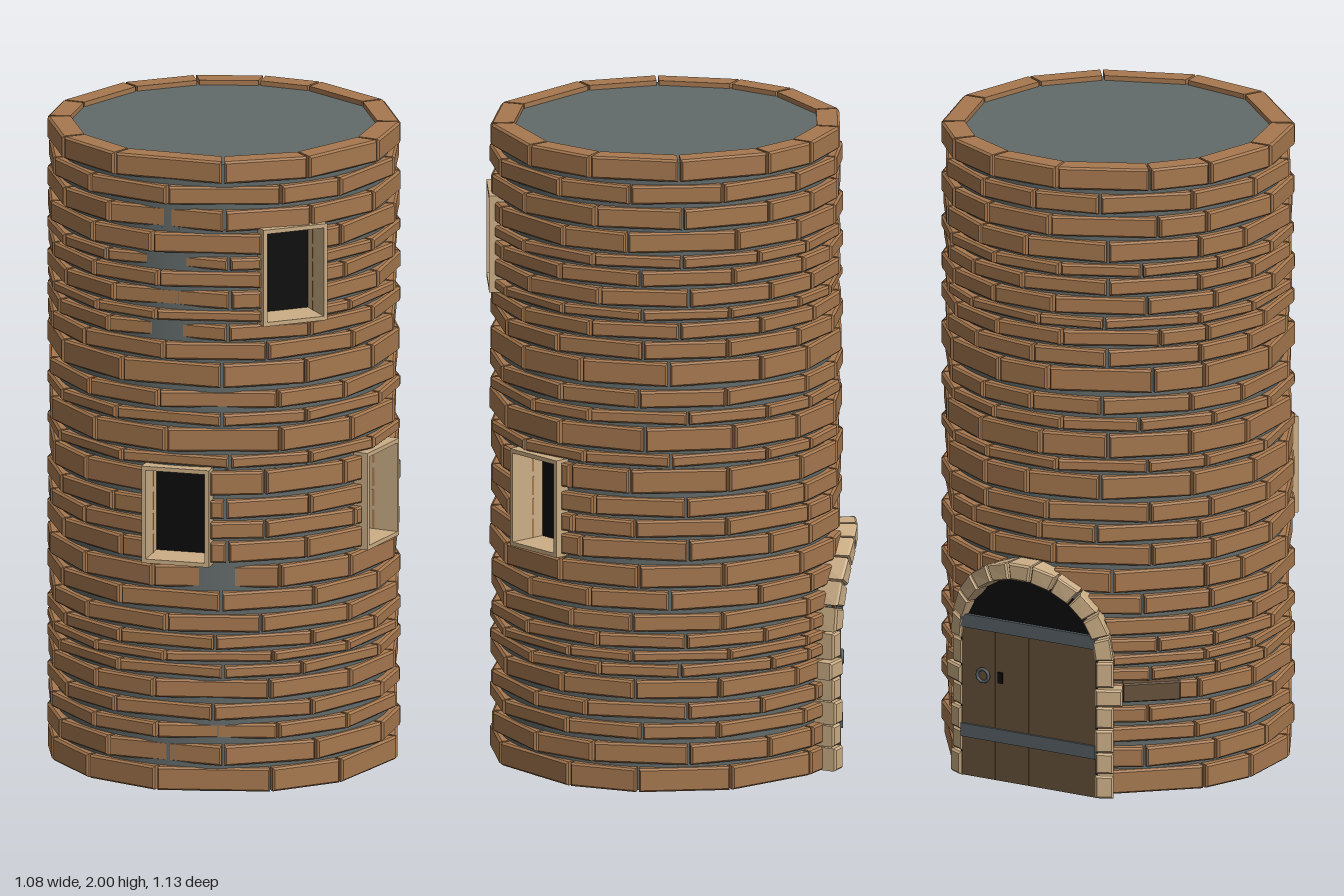
import * as THREE from 'three';
import { mergeGeometries } from 'three/addons/utils/BufferGeometryUtils.js';

const AXIS_Z = 0.02;   // tower axis, set forward of the door arch
const R = 0.541;       // outer brick radius
const CORE = 0.511;    // mortar radius
const DOOR_R = 0.55;   // radius on which door stones are laid out
const SPRING = 0.44;   // height where the arch begins
const DEG = Math.PI / 180;

function mat(name, color) {
  const m = new THREE.MeshStandardMaterial({ color });
  m.name = name;
  return m;
}

function random(seed) {
  return () => {
    seed = (seed * 16807) % 2147483647;
    return seed / 2147483647;
  };
}

// Chamfered stone: corners are [angle, y] anticlockwise seen from outside
function block(corners, rIn, rOut, bevel) {
  const mid = k => corners.reduce((s, c) => s + c[k], 0) / 4;
  const half = k => Math.max(...corners.map(c => Math.abs(c[k] - mid(k))));
  const ca = mid(0), cy = mid(1);
  const fa = 1 - bevel / (half(0) * rOut), fy = 1 - bevel / half(1);
  const front = corners.map(([a, y]) => [ca + (a - ca) * fa, cy + (y - cy) * fy]);
  const pos = [], index = [];
  [[corners, rIn], [corners, rOut - bevel], [front, rOut]].forEach(([loop, r]) =>
    loop.forEach(([a, y]) => pos.push(r * Math.sin(a), y, r * Math.cos(a))));
  const quad = (a, b, c, d) => index.push(a, b, c, a, c, d);
  for (let l = 0; l < 8; l += 4) {
    for (let i = 0; i < 4; i++) {
      const j = (i + 1) % 4;
      quad(l + i, l + j, l + 4 + j, l + 4 + i);
    }
  }
  quad(8, 9, 10, 11);
  quad(3, 2, 1, 0);
  const g = new THREE.BufferGeometry();
  g.setAttribute('position', new THREE.Float32BufferAttribute(pos, 3));
  g.setIndex(index);
  const flat = g.toNonIndexed();
  flat.computeVertexNormals();
  return flat;
}

const rect = (a0, a1, y0, y1) => [[a0, y0], [a1, y0], [a1, y1], [a0, y1]];

// Window openings: centre angle and height range
const windows = [
  { angle: 0, y0: 1.48, y1: 1.785 },
  { angle: 39.5 * DEG, y0: 0.722, y1: 1.028 },
  { angle: -39.5 * DEG, y0: 0.722, y1: 1.028 },
];

// Blocked angle ranges at height y
function holesAt(y, half, withDoor) {
  const holes = windows.filter(w => y > w.y0 && y < w.y1)
    .map(w => [w.angle - half, w.angle + half]);
  if (withDoor && y < SPRING + 0.26) {
    const u = Math.sqrt(0.0676 - Math.max(0, y - SPRING) ** 2) / DOOR_R;
    holes.push([Math.PI - u, Math.PI + u]);
  }
  return holes;
}

// Remove the blocked ranges from one angle interval
function clip(a0, a1, holes) {
  let parts = [[a0, a1]];
  for (const [h0, h1] of holes) {
    for (const t of [-2 * Math.PI, 0, 2 * Math.PI]) {
      parts = parts.flatMap(([p, q]) => {
        if (h1 + t <= p || h0 + t >= q) return [[p, q]];
        return [[p, h0 + t], [h1 + t, q]];
      }).filter(([p, q]) => q - p > 0.02);
    }
  }
  return parts;
}

export function createModel() {
  const brick = mat('brick brown', 0xa6784f);
  const mortar = mat('mortar grey', 0x626b6a);
  const stone = mat('pale stone', 0xcbae86);
  const wood = mat('door wood', 0x655039);
  const iron = mat('iron grey', 0x566064);
  const black = mat('black', 0x0b0b0b);

  const model = new THREE.Group();
  const tower = new THREE.Group();
  tower.name = 'tower';
  tower.position.z = AXIS_Z;
  model.add(tower);
  const add = (name, geo, m, parent = tower) => {
    const mesh = new THREE.Mesh(geo, m);
    mesh.name = name;
    parent.add(mesh);
    return mesh;
  };

  // Brick courses, top to bottom: heights of each row's upper and lower edge
  const rows = [
    [2, 1.93], [1.915, 1.857], [1.842, 1.778], [1.766, 1.703], [1.692, 1.655], [1.645, 1.597],
    [1.586, 1.533], [1.522, 1.49], [1.48, 1.432], [1.422, 1.368], [1.358, 1.284], [1.268, 1.215],
    [1.2, 1.162], [1.151, 1.077], [1.066, 1.03], [1.018, 0.944], [0.928, 0.87], [0.859, 0.806],
    [0.795, 0.732], [0.716, 0.647], [0.636, 0.578], [0.562, 0.509], [0.498, 0.456], [0.445, 0.414],
    [0.403, 0.366], [0.355, 0.297], [0.281, 0.233], [0.217, 0.17], [0.153, 0.09], [0.078, 0.004],
  ];
  const joints = [5, 37, 62, 92, 123, 143, 166, 191, 222, 243, 271, 298, 336];
  const rnd = random(77);
  const bricks = [];
  rows.forEach(([y1, y0], i) => {
    const cuts = joints.map(j => (j + (i % 2) * 16 + (i ? (rnd() - 0.5) * 7 : 0)) * DEG);
    const holes = holesAt((y0 + y1) / 2, 0.198, true);
    cuts.forEach((a, k) => {
      const b = k + 1 < cuts.length ? cuts[k + 1] : cuts[0] + 2 * Math.PI;
      for (const [p, q] of clip(a + 0.008, b - 0.008, holes)) {
        bricks.push(block(rect(p, q, y0, y1), 0.47, R, 0.006));
      }
    });
  });
  add('brickCourses', mergeGeometries(bricks), brick);

  // Mortar core, left open behind the windows
  const levels = [0.004, 0.73, 1.02, 1.488, 1.777, 1.985];
  const walls = [];
  for (let i = 0; i < 5; i++) {
    const h = levels[i + 1] - levels[i], y = levels[i] + h / 2;
    for (const [p, q] of clip(-Math.PI, Math.PI, holesAt(y, 0.2, false))) {
      walls.push(new THREE.CylinderGeometry(CORE, CORE, h, Math.ceil((q - p) * 10), 1, true, p, q - p)
        .translate(0, y, 0));
    }
  }
  walls.push(new THREE.CircleGeometry(CORE, 64).rotateX(-Math.PI / 2).translate(0, 1.985, 0));
  walls.push(new THREE.CircleGeometry(0.53, 64).rotateX(Math.PI / 2).translate(0, 0.003, 0));
  add('mortarCore', mergeGeometries(walls), mortar);

  // Windows: deep stone frame with a dark back
  for (const w of windows) {
    const group = new THREE.Group();
    group.name = 'window';
    group.rotation.y = w.angle;
    tower.add(group);
    const box = (Path, inset) => {
      const x = 0.107 - inset, b = w.y0 + inset, t = w.y1 - inset;
      return new Path([[-x, b], [x, b], [x, t], [-x, t]].map(p => new THREE.Vector2(...p)));
    };
    const outline = box(THREE.Shape, 0);
    outline.holes.push(box(THREE.Path, 0.013));
    add('windowFrame', new THREE.ExtrudeGeometry(outline, { depth: 0.125, bevelEnabled: false })
      .translate(0, 0, 0.422), stone, group);
    add('windowDark', new THREE.PlaneGeometry(0.2, w.y1 - w.y0 - 0.01)
      .translate(0, (w.y0 + w.y1) / 2, 0.425), black, group);
  }

  // Door surround: jamb stones and arch stones bent round the wall
  const stones = [];
  const bend = pts => pts.map(([u, y]) => [Math.PI + u / DOOR_R, y]);
  const jambs = [0.004, 0.08, 0.15, 0.225, 0.297, 0.355, 0.44];
  for (const side of [-1, 1]) {
    for (let i = 0; i < 6; i++) {
      const ends = [side * 0.235, side * (i === 4 ? 0.315 : 0.288)].sort((a, b) => a - b);
      stones.push(block(bend(rect(ends[0], ends[1], jambs[i], jambs[i + 1] - 0.004)),
        0.46, i % 2 ? 0.578 : 0.585, 0.006));
    }
  }
  const count = 11;
  for (let i = 0; i < count; i++) {
    const a0 = i / count * Math.PI + 0.012, a1 = (i + 1) / count * Math.PI - 0.012;
    const at = (r, a) => [r * Math.cos(a), SPRING + r * Math.sin(a)];
    stones.push(block(bend([at(0.235, a0), at(0.289, a0), at(0.289, a1), at(0.235, a1)]),
      0.48, 0.585, 0.006));
  }
  add('doorSurround', mergeGeometries(stones), stone);

  // Door: dark arch, planks, iron straps and ring handle
  const door = new THREE.Group();
  door.name = 'door';
  model.add(door);
  const arch = new THREE.Shape();
  arch.moveTo(-0.245, 0.01);
  arch.lineTo(0.245, 0.01);
  arch.lineTo(0.245, SPRING);
  arch.absarc(0, SPRING, 0.245, 0, Math.PI, false);
  add('doorDark', new THREE.ShapeGeometry(arch, 24).rotateY(Math.PI).translate(0, 0, -0.5), black, door);
  for (let i = 0; i < 4; i++) {
    add('doorPlank', new THREE.BoxGeometry(0.119, 0.5, 0.02)
      .translate(-0.18 + i * 0.12, 0.255, -0.495), wood, door);
  }
  for (const y of [0.15, 0.5]) {
    add('doorStrap', new THREE.BoxGeometry(0.48, 0.042, 0.02).translate(0, y, -0.502), iron, door);
  }
  add('doorHandle', new THREE.TorusGeometry(0.02, 0.005, 8, 20).translate(0.16, 0.335, -0.512), iron, door);
  add('keyhole', new THREE.BoxGeometry(0.016, 0.035, 0.008).translate(0.1, 0.335, -0.506), black, door);

  // Dark wooden plaque beside the door
  add('sidePlaque', block(rect(213 * DEG, 232 * DEG, 0.3, 0.36), 0.5, 0.548, 0.004), wood);

  return model;
}
